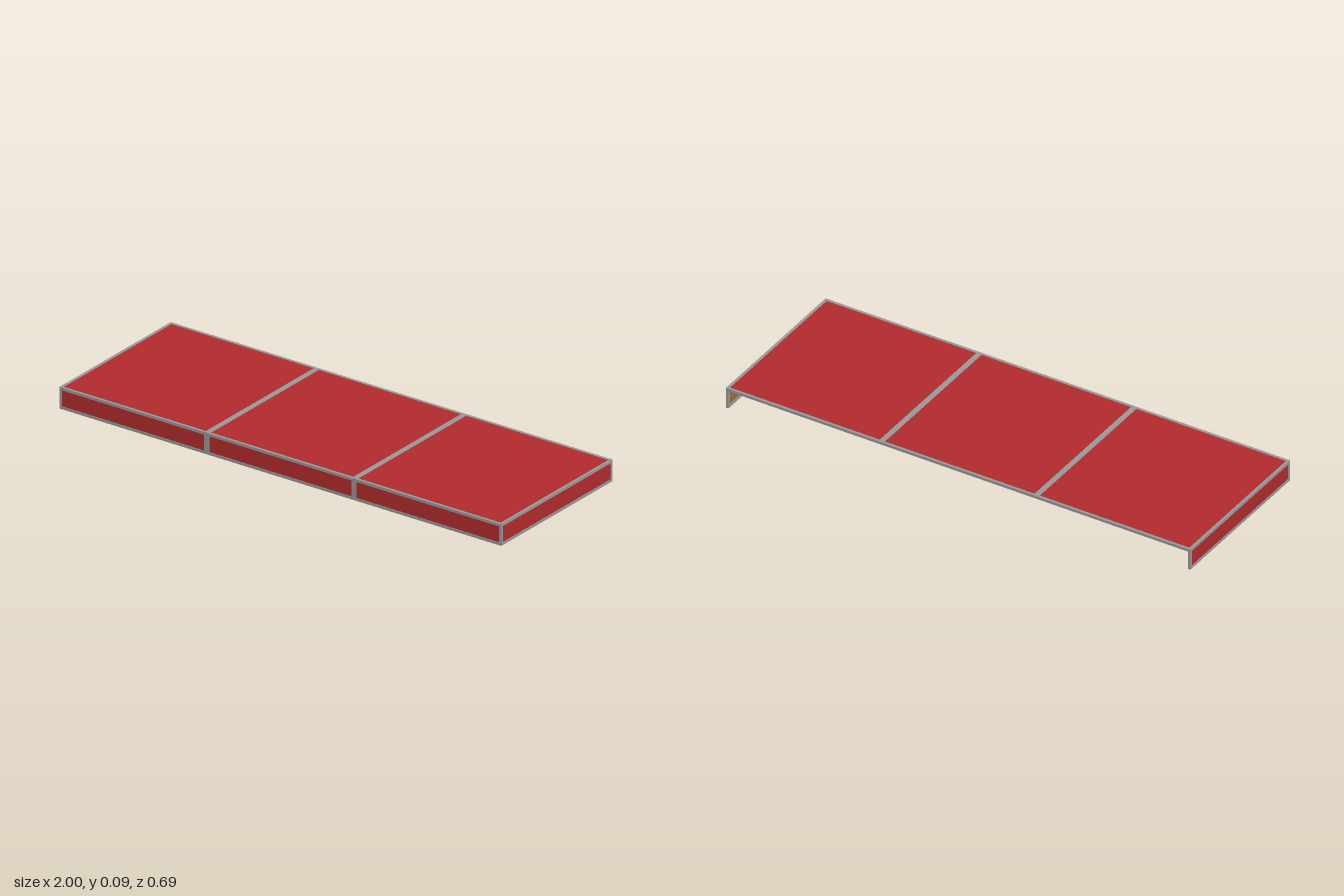
import * as THREE from 'three';

const W = 2, H = 0.087, D = 0.69, BAR = 0.011;  // overall size and frame bar width
const BAYS = 3, MID = 2 * BAR;                  // bays and width of the bars between them
const INSET = 0.002, SKIN = 0.003;              // panel recess and layer thickness

export function createModel() {
  const root = new THREE.Group();
  root.name = 'canopy';

  const make = (name, color) => {
    const m = new THREE.MeshStandardMaterial({ color });
    m.name = name;
    return m;
  };
  const frameGrey = make('frameGrey', 0x999999);
  const panelRed = make('panelRed', 0xb22b2d);
  const liningTan = make('liningTan', 0xa06c38);

  // Box given by its minimum and maximum corners
  const box = (name, material, [x0, y0, z0], [x1, y1, z1]) => {
    const mesh = new THREE.Mesh(new THREE.BoxGeometry(x1 - x0, y1 - y0, z1 - z0), material);
    mesh.position.set((x0 + x1) / 2, (y0 + y1) / 2, (z0 + z1) / 2);
    mesh.name = name;
    root.add(mesh);
  };

  const X = W / 2, Z = D / 2;

  // Long rails: top back, top front, bottom front
  box('topBackRail', frameGrey, [-X, H - BAR, -Z], [X, H, -Z + BAR]);
  box('topFrontRail', frameGrey, [-X, H - BAR, Z - BAR], [X, H, Z]);
  box('bottomFrontRail', frameGrey, [-X, 0, Z - BAR], [X, BAR, Z]);

  // End frames with their panels and linings
  for (const s of [-1, 1]) {
    const side = s < 0 ? 'right' : 'left';
    const slab = (name, mat, a, b, y0, y1, z0, z1) =>
      box(side + name, mat, [Math.min(s * a, s * b), y0, z0], [Math.max(s * a, s * b), y1, z1]);
    const inner = X - BAR;
    slab('TopRail', frameGrey, inner, X, H - BAR, H, -Z + BAR, Z - BAR);
    slab('BottomRail', frameGrey, inner, X, 0, BAR, -Z + BAR, Z - BAR);
    slab('BackPost', frameGrey, inner, X, 0, H - BAR, -Z, -Z + BAR);
    slab('FrontPost', frameGrey, inner, X, BAR, H - BAR, Z - BAR, Z);
    const face = X - INSET;
    slab('EndPanel', panelRed, face - SKIN, face, BAR, H - BAR, -Z + BAR, Z - BAR);
    slab('EndLining', liningTan, face - 2 * SKIN, face - SKIN, BAR, H - BAR, -Z + BAR, Z - BAR);
  }

  // Bars between bays, on the roof and down the front
  for (let i = 1; i < BAYS; i++) {
    const x = -X + i * W / BAYS;
    box('roofBar', frameGrey, [x - MID / 2, H - BAR, -Z + BAR], [x + MID / 2, H, Z - BAR]);
    box('frontBar', frameGrey, [x - MID / 2, BAR, Z - BAR], [x + MID / 2, H - BAR, Z]);
  }

  // Roof and front panels, red outside and tan inside
  for (let i = 0; i < BAYS; i++) {
    const x0 = -X + i * W / BAYS + BAR, x1 = -X + (i + 1) * W / BAYS - BAR;
    const layers = [['Panel', panelRed, INSET], ['Lining', liningTan, INSET + SKIN]];
    for (const [name, mat, d] of layers) {
      box('roof' + name, mat, [x0, H - d - SKIN, -Z + BAR], [x1, H - d, Z - BAR]);
      box('front' + name, mat, [x0, BAR, Z - d - SKIN], [x1, H - BAR, Z - d]);
    }
  }
  return root;
}
